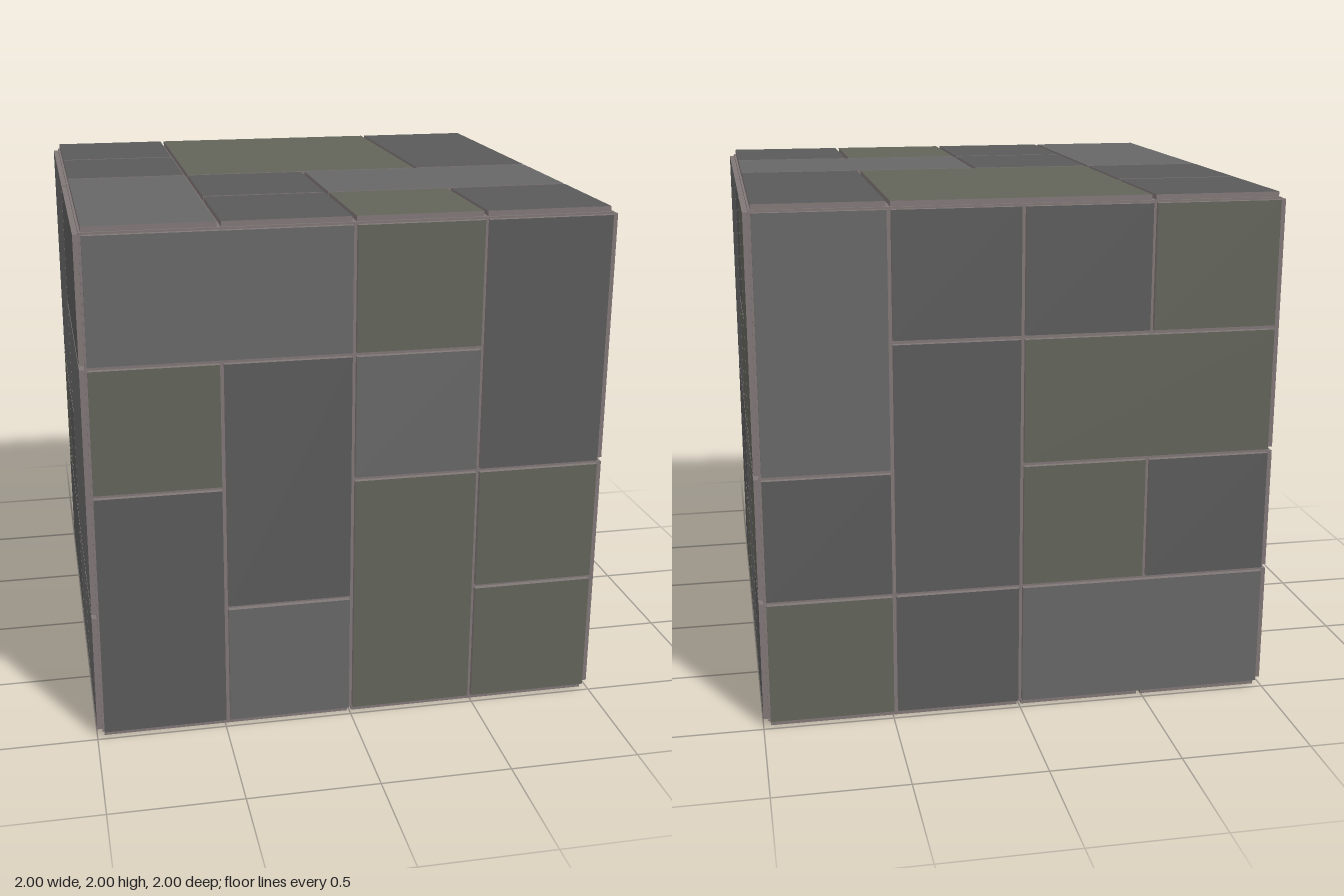
import * as THREE from 'three';

const CORE = 0.98;        // half size of the inner block
const CELL = CORE / 2;    // each face is a 4 x 4 grid of cells
const GAP = 0.008;        // inset of a panel inside its cells
const THICK = 0.02;       // how far a panel stands proud

const mat = color => new THREE.MeshStandardMaterial({ color });

// Each plan shows a face from outside, top row first; cells sharing a letter form one panel.
// Tones follow the letters in order: L light grey, O olive grey, D dark grey
const FACES = [
  { name: 'front', plan: 'aabc defc gehi gjhk', tones: 'LODODLDOOLO', turn: 0, tilt: 0 },
  { name: 'right', plan: 'aabc aadc efgh eigj', tones: 'LDOODDLOOD', turn: 1, tilt: 0 },
  { name: 'back', plan: 'abcd aeff gehi jkll', tones: 'LDDODODODODL', turn: 2, tilt: 0 },
  { name: 'left', plan: 'aabb aacc decc ffgh', tones: 'LDLODDLL', turn: -1, tilt: 0 },
  { name: 'top', plan: 'abbc dbbc efgg ehij', tones: 'DODDLDLDOD', turn: 0, tilt: -1 },
  { name: 'bottom', plan: 'aabb aabb cdef gdhh', tones: 'ODDDDOOD', turn: 0, tilt: 1 },
];

export function createModel() {
  const model = new THREE.Group();
  model.name = 'panelledCube';
  const rim = mat(0x807676);
  const toneMaterials = { L: mat(0x676768), O: mat(0x62645a), D: mat(0x5a5a5a) };

  // Inner block, seen as the seams between panels
  const core = new THREE.Mesh(new THREE.BoxGeometry(2 * CORE, 2 * CORE, 2 * CORE), rim);
  core.name = 'core';
  core.position.y = 1;
  model.add(core);

  // Raised panels: laid out facing +z, then the whole face is turned into place
  for (const { name, plan, tones, turn, tilt } of FACES) {
    const face = new THREE.Group();
    face.name = name + 'Panels';
    face.position.y = 1;
    face.rotation.set(tilt * Math.PI / 2, turn * Math.PI / 2, 0);
    const cells = plan.replaceAll(' ', '');

    [...new Set(cells)].forEach((letter, i) => {
      // First and last cell of a letter are the panel's opposite corners
      const first = cells.indexOf(letter), last = cells.lastIndexOf(letter);
      const col = first % 4, row = Math.floor(first / 4);
      const w = last % 4 - col + 1, h = Math.floor(last / 4) - row + 1;

      // Only the outer side carries the tone, the edges match the core
      const panel = new THREE.Mesh(
        new THREE.BoxGeometry(w * CELL - 2 * GAP, h * CELL - 2 * GAP, THICK),
        [rim, rim, rim, rim, toneMaterials[tones[i]], rim]);
      panel.name = name + 'Panel';
      panel.position.set((col + w / 2 - 2) * CELL, (2 - row - h / 2) * CELL, CORE + THICK / 2);
      face.add(panel);
    });
    model.add(face);
  }
  return model;
}
